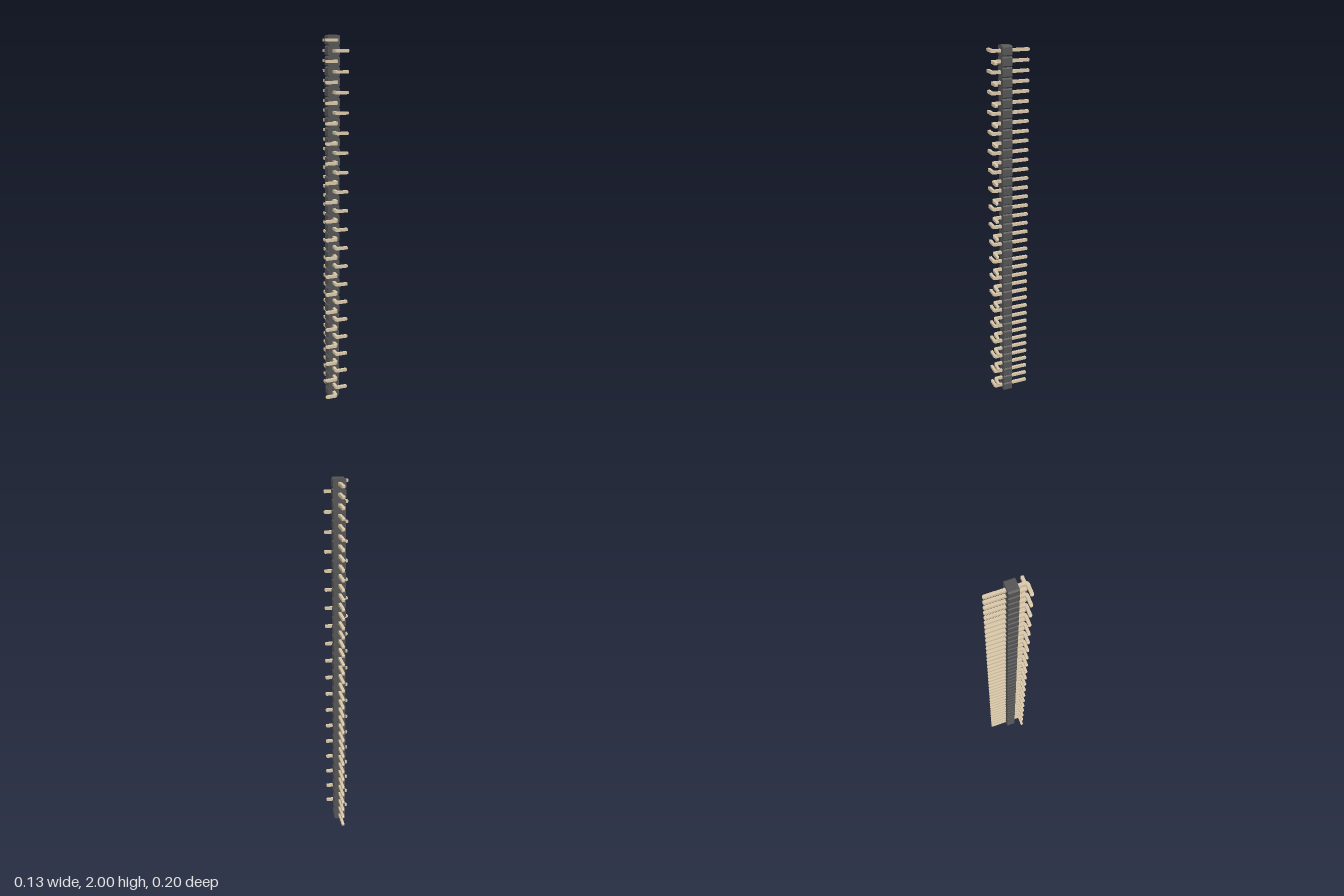
import * as THREE from 'three';

const COUNT = 39;            // number of pins
const PITCH = 2 / COUNT;     // spacing between pins
const HALF_WIDTH = 0.0325;   // half the housing width
const DEPTH = 0.051;         // housing depth along z
const CHAMFER = 0.007;       // notch between housing cells
const H = 0.0077;            // half the pin thickness
const REACH = 0.102;         // pin extent along z, both ways
const FOOT = 0.063;          // sideways reach of the bent foot

// One strip of chamfered cells, extruded along z
function housingGeometry() {
  const right = [];
  for (let i = 0; i < COUNT; i++) {
    const y = i * PITCH;
    right.push([HALF_WIDTH - CHAMFER, y], [HALF_WIDTH, y + CHAMFER], [HALF_WIDTH, y + PITCH - CHAMFER]);
  }
  right.push([HALF_WIDTH - CHAMFER, 2]);
  const left = right.map(([x, y]) => [-x, y]).reverse();
  const shape = new THREE.Shape([...right, ...left].map(([x, y]) => new THREE.Vector2(x, y)));
  return new THREE.ExtrudeGeometry(shape, { depth: DEPTH, bevelEnabled: false });
}

// Square wire swept along z, then bent toward +x, with tapered tips
function pinGeometry() {
  const tip = 0.004, small = H * 0.55, R = H + 0.001;
  const zBend = REACH - H - R;
  // Each section: x, z, bend angle, half size
  const sections = [[0, -REACH, 0, small], [0, -REACH + tip, 0, H]];
  const steps = 6;
  for (let i = 0; i <= steps; i++) {
    const a = (i / steps) * Math.PI / 2;
    sections.push([R - R * Math.cos(a), zBend + R * Math.sin(a), a, H]);
  }
  const zFoot = REACH - H;
  sections.push([FOOT - tip, zFoot, Math.PI / 2, H], [FOOT, zFoot, Math.PI / 2, small]);

  const positions = [], index = [];
  for (const [x, z, a, s] of sections) {
    for (const [n, u] of [[1, 1], [-1, 1], [-1, -1], [1, -1]]) {
      positions.push(x + n * s * Math.cos(a), u * s, z - n * s * Math.sin(a));
    }
  }
  for (let k = 0; k < sections.length - 1; k++) {
    for (let j = 0; j < 4; j++) {
      const a = k * 4 + j, b = k * 4 + (j + 1) % 4;
      index.push(a, b, b + 4, a, b + 4, a + 4);
    }
  }
  const e = (sections.length - 1) * 4;
  index.push(0, 2, 1, 0, 3, 2, e, e + 1, e + 2, e, e + 2, e + 3);

  const indexed = new THREE.BufferGeometry();
  indexed.setAttribute('position', new THREE.Float32BufferAttribute(positions, 3));
  indexed.setIndex(index);
  const geometry = indexed.toNonIndexed();
  geometry.computeVertexNormals();
  return geometry;
}

export function createModel() {
  const model = new THREE.Group();
  model.name = 'pinHeader';

  const plastic = new THREE.MeshStandardMaterial({ color: 0x555555 });
  const metal = new THREE.MeshStandardMaterial({ color: 0xd9c7a8 });

  const housing = new THREE.Mesh(housingGeometry(), plastic);
  housing.name = 'housing';
  model.add(housing);

  // Pins with feet alternating to either side
  const pins = new THREE.Group();
  pins.name = 'pins';
  const geometry = pinGeometry();
  for (let i = 0; i < COUNT; i++) {
    const pin = new THREE.Mesh(geometry, metal);
    pin.name = i % 2 === 0 ? 'rightPin' : 'leftPin';
    pin.position.y = (i + 0.5) * PITCH;
    if (i % 2 === 0) pin.rotation.z = Math.PI;
    pins.add(pin);
  }
  model.add(pins);
  return model;
}
